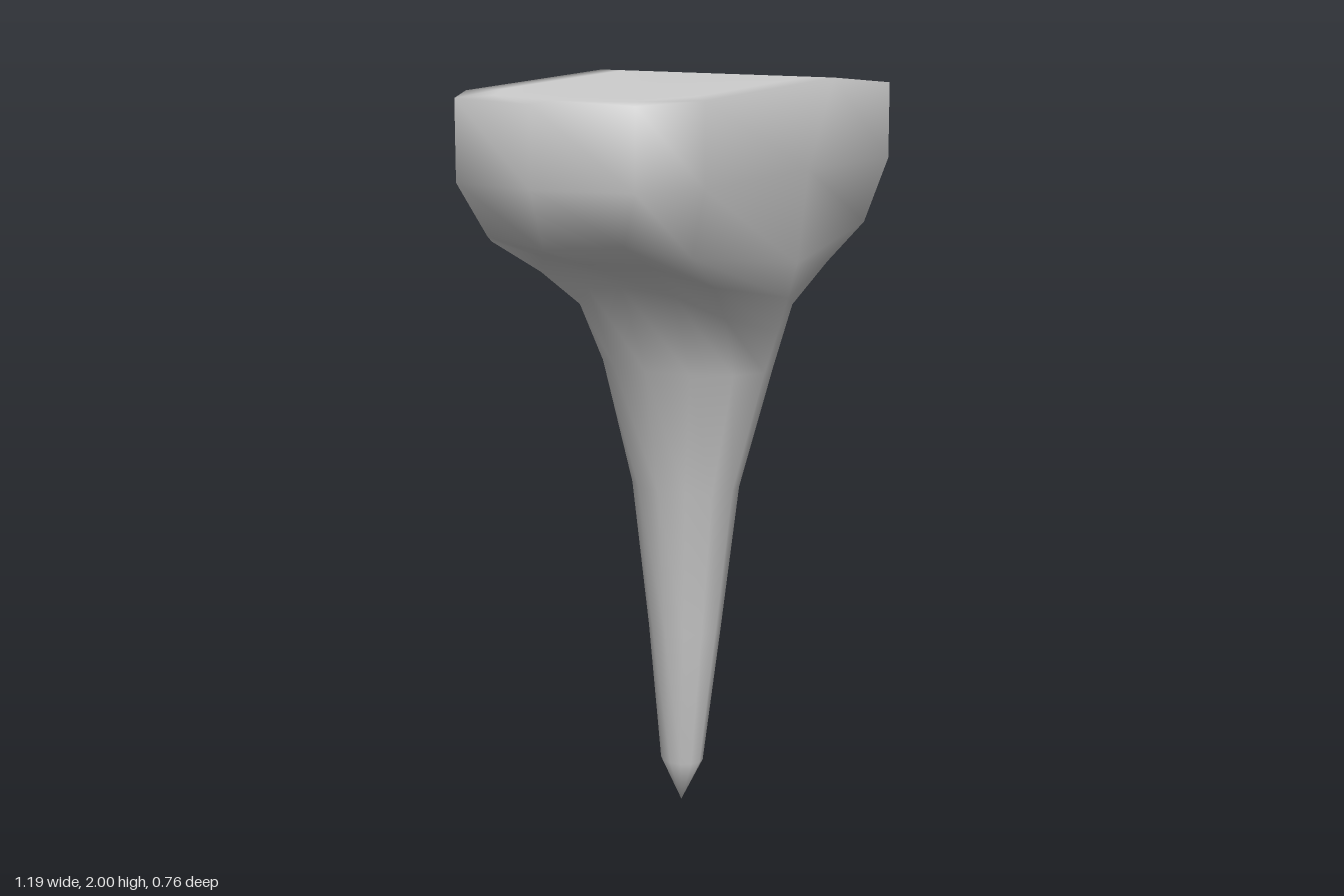
import * as THREE from 'three';

// Height of the gently crowned top at a given x (highest right of centre)
function topHeight(x, z) {
  const bend = x < 0.2 ? 0.062 * Math.pow((0.2 - x) / 0.8, 1.1) : 0.048 * Math.pow((x - 0.2) / 0.4, 1.2);
  return 1.995 - bend - 0.012 * z;
}

// Round shaft section: y, half width, half depth, centre x and z
const shaft = (y, w, d, cx, cz) => ({
  cx, cz, sx: 0, tilt: 0,
  pts: [[w, y, 0], [w * 0.86, y, d * 0.5], [w * 0.5, y, d * 0.86], [0, y, d]],
});

// Head section: quarter outline from the end (x) round to the long side (z)
const head = (cx, sx, tilt, pts) => ({ cx, cz: 0, sx, tilt, pts });

const rim = [[0.597, 0, 0], [0.55, 0, 0.286], [0.405, 0, 0.382], [0, 0, 0.382]];

const sections = [
  // top face inset and rim, their heights follow the crown
  { ...head(0, 0.14, 0, rim.map(([x, y, z]) => [x * 0.86, y, z * 0.8])), top: true },
  { ...head(0, 0.14, 0, rim), top: true },
  // bottom of the upright band
  head(0, 0.03, 0.042, [[0.597, 1.755, 0], [0.55, 1.755, 0.286], [0.405, 1.755, 0.382], [0, 1.76, 0.382]]),
  // underside curving in to the shaft
  head(0, 0.03, 0.042, [[0.55, 1.605, 0], [0.51, 1.62, 0.22], [0.38, 1.585, 0.325], [0, 1.52, 0.35]]),
  head(0.015, 0.015, 0.042, [[0.41, 1.55, 0], [0.37, 1.55, 0.17], [0.25, 1.49, 0.285], [0, 1.43, 0.322]]),
  head(0.02, 0.01, 0.02, [[0.27, 1.465, 0], [0.235, 1.45, 0.14], [0.15, 1.39, 0.24], [0, 1.34, 0.292]]),
  // tapering shaft
  shaft(1.23, 0.178, 0.253, 0.027, 0),
  shaft(0.9, 0.122, 0.157, 0.03, -0.008),
  shaft(0.5, 0.087, 0.105, 0.032, -0.012),
  shaft(0.12, 0.053, 0.061, 0.03, -0.02),
];

// Mirror a quarter outline into a closed twelve point ring
function ring({ cx, cz, sx, tilt, pts, top }) {
  const [e, a, b, s] = pts;
  const place = (p, mx, mz) => {
    const x = cx + p[0] * mx + (p === s ? sx : 0);
    const z = cz + p[2] * mz;
    return [x, top ? topHeight(x, z) : p[1] + tilt * x, z];
  };
  return [
    place(e, 1, 1), place(a, 1, 1), place(b, 1, 1), place(s, 1, 1),
    place(b, -1, 1), place(a, -1, 1), place(e, -1, 1), place(a, -1, -1),
    place(b, -1, -1), place(s, 1, -1), place(b, 1, -1), place(a, 1, -1),
  ];
}

function loftGeometry() {
  const n = 12;
  const verts = sections.flatMap(ring);
  const topCentre = verts.push([0.14, topHeight(0.14, 0), 0]) - 1;
  const tip = verts.push([0.03, 0, -0.022]) - 1;
  const index = [];
  for (let j = 0; j < n; j++) {
    const k = (j + 1) % n;
    index.push(topCentre, k, j);
    for (let i = 0; i < sections.length - 1; i++) {
      const a = i * n + j, b = i * n + k;
      index.push(a, b, a + n, b, b + n, a + n);
    }
    const last = (sections.length - 1) * n;
    index.push(last + j, last + k, tip);
  }
  const geometry = new THREE.BufferGeometry();
  geometry.setAttribute('position', new THREE.Float32BufferAttribute(verts.flat(), 3));
  geometry.setIndex(index);
  geometry.computeVertexNormals();
  return geometry;
}

export function createModel() {
  const group = new THREE.Group();
  group.name = 'spike';
  const body = new THREE.Mesh(loftGeometry(), new THREE.MeshStandardMaterial({ color: 0xcccccc }));
  body.name = 'spikeBody';
  group.add(body);
  return group;
}
